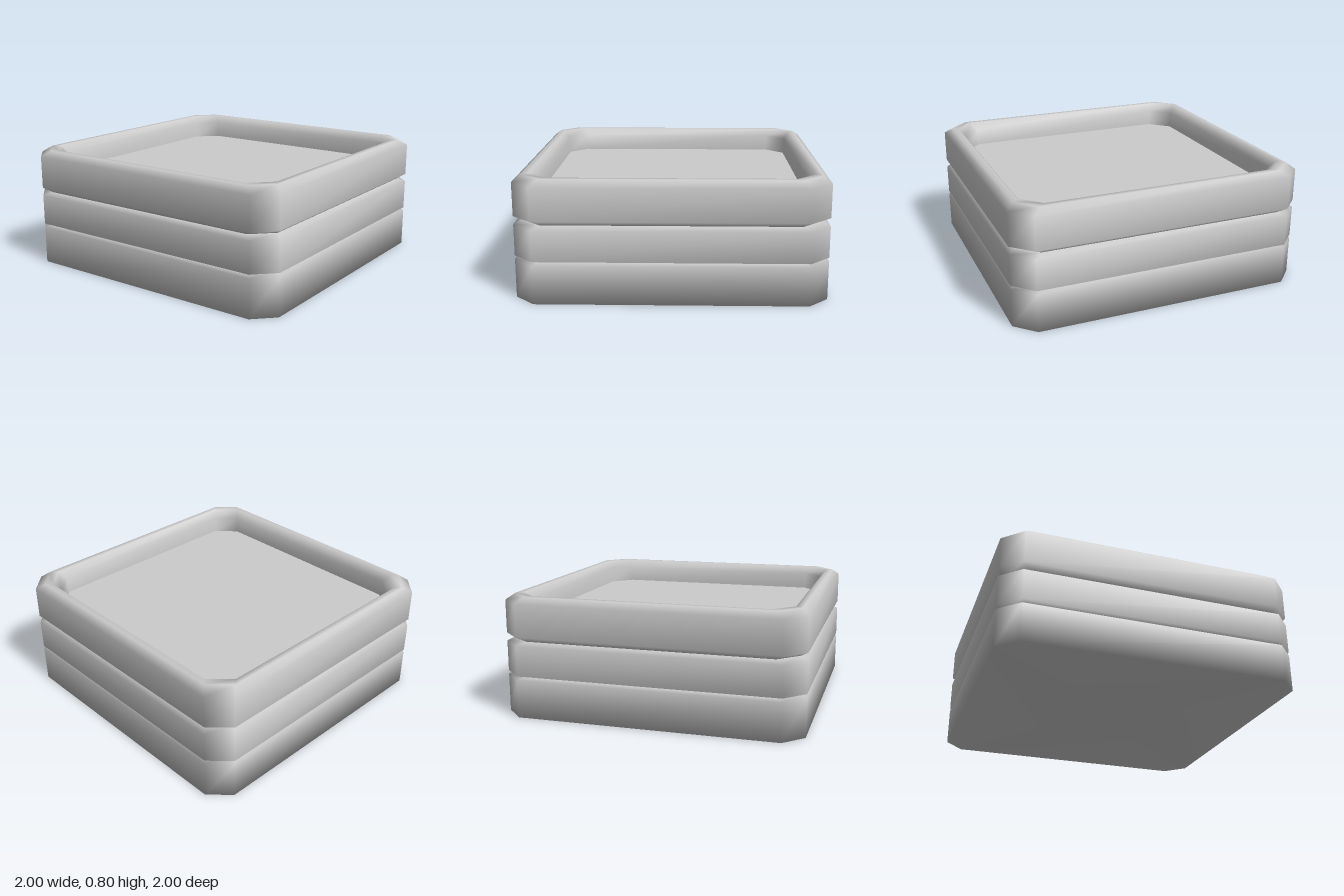
import * as THREE from 'three';

const CUT = 0.13; // corner cut, the same on every ring

// Eight corners of a square of half-width r with cut corners
function octagon(r) {
  const c = Math.max(0, r - CUT);
  return [[-c, r], [c, r], [r, c], [r, -c], [c, -r], [-c, -r], [-r, -c], [-r, c]];
}

// Smooth band through octagonal loops; profile is [half-width, height]
function band(name, profile) {
  const positions = [], index = [];
  profile.forEach(([r, y], i) => {
    octagon(r).forEach(([x, z], j) => {
      positions.push(x, y, z);
      if (i === profile.length - 1) return;
      const a = i * 8 + j, b = i * 8 + (j + 1) % 8;
      index.push(a, b, b + 8, a, b + 8, a + 8);
    });
  });
  const geometry = new THREE.BufferGeometry();
  geometry.setAttribute('position', new THREE.Float32BufferAttribute(positions, 3));
  geometry.setIndex(index);
  geometry.computeVertexNormals();
  const mesh = new THREE.Mesh(geometry, new THREE.MeshStandardMaterial({ color: 0xcccccc }));
  mesh.name = name;
  return mesh;
}

export function createModel() {
  const group = new THREE.Group();
  group.name = 'paddlingPool';

  group.add(
    // Bottom ring, closed underneath
    band('bottomRing', [[0, 0], [1, 0], [1, 0.255], [0.95, 0.265]]),
    // Middle ring between the two grooves
    band('middleRing', [[0.95, 0.265], [1, 0.28], [1, 0.485], [0.95, 0.505]]),
    // Top ring, rolling over the rim and down to the floor
    band('topRing', [
      [0.95, 0.505], [1, 0.54], [1, 0.76], [0.95, 0.8],
      [0.91, 0.8], [0.87, 0.75], [0.865, 0.635],
    ]),
    // Flat surface inside the rim
    band('innerFloor', [[0.865, 0.635], [0, 0.635]]),
  );
  return group;
}
